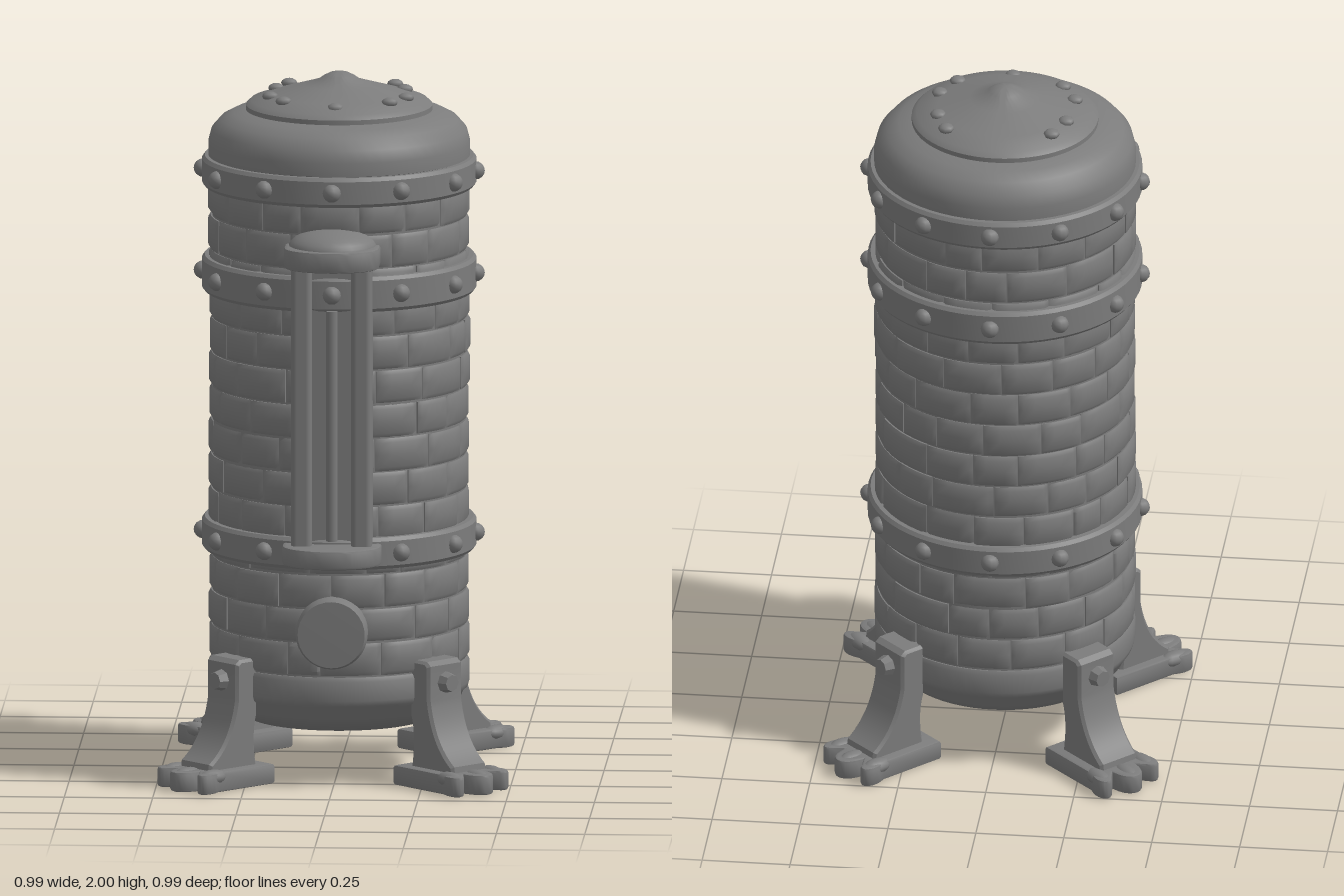
import * as THREE from 'three';
import { mergeGeometries, toCreasedNormals } from 'three/addons/utils/BufferGeometryUtils.js';
import { RoundedBoxGeometry } from 'three/addons/geometries/RoundedBoxGeometry.js';

const darkGrey = new THREE.MeshStandardMaterial({ color: 0x7c7c7c });

function add(parent, name, geometry, x = 0, y = 0, z = 0) {
  const mesh = new THREE.Mesh(geometry, darkGrey);
  mesh.name = name;
  mesh.position.set(x, y, z);
  parent.add(mesh);
  return mesh;
}

function lathe(points, segments = 64) {
  const profile = points.map(([r, y]) => new THREE.Vector2(r, y));
  return toCreasedNormals(new THREE.LatheGeometry(profile, segments), 0.6);
}

// Small seeded generator for irregular brickwork
function seeded(seed) {
  return () => {
    seed = (seed * 16807) % 2147483647;
    return seed / 2147483647;
  };
}

// Box wrapped around the barrel, with a softly bevelled outer face
function bentBrick(a0, a1, y0, y1, radius) {
  const g = new THREE.BoxGeometry(2, 2, 2, 6, 4, 1);
  const p = g.attributes.position;
  for (let i = 0; i < p.count; i++) {
    const edge = Math.abs(p.getX(i)) > 0.99 || Math.abs(p.getY(i)) > 0.99;
    const u = Math.abs(p.getX(i)) > 0.99 ? p.getX(i) : p.getX(i) * 1.25;
    const v = Math.abs(p.getY(i)) > 0.99 ? p.getY(i) : p.getY(i) * 1.5;
    const a = (a0 + a1) / 2 + (u * (a1 - a0)) / 2;
    const r = p.getZ(i) < 0 ? 0.34 : radius - (edge ? 0.007 : 0);
    p.setXYZ(i, Math.sin(a) * r, (y0 + y1) / 2 + (v * (y1 - y0)) / 2, Math.cos(a) * r);
  }
  return toCreasedNormals(g, 0.9);
}

function brickwork(yMin, yMax, rows, perRow) {
  const rand = seeded(71);
  const bricks = [];
  const h = (yMax - yMin) / rows;
  const step = (Math.PI * 2) / perRow;
  for (let row = 0; row < rows; row++) {
    const joints = [];
    for (let i = 0; i < perRow; i++) joints.push((i + (row % 2) / 2 + (rand() - 0.5) * 0.45) * step);
    joints.push(joints[0] + Math.PI * 2);
    for (let i = 0; i < perRow; i++) {
      const y = yMin + row * h;
      bricks.push(bentBrick(joints[i] + 0.003, joints[i + 1] - 0.003,
        y + 0.001 + rand() * 0.003, y + h - 0.001 - rand() * 0.003, 0.365 + rand() * 0.006));
    }
  }
  return mergeGeometries(bricks);
}

// Iron hoop with twelve rivets
function hoop(y, height) {
  const group = new THREE.Group();
  group.name = 'rivetedHoop';
  group.position.y = y;
  const h = height / 2;
  add(group, 'hoopBand', lathe([[0.35, -h], [0.38, -h], [0.388, -h + 0.01], [0.388, h - 0.01], [0.38, h], [0.35, h]]));
  const rivet = new THREE.SphereGeometry(0.026, 10, 8);
  for (let i = 0; i < 12; i++) {
    const a = (i * Math.PI) / 6;
    add(group, 'hoopRivet', rivet, Math.sin(a) * 0.386, 0, Math.cos(a) * 0.386);
  }
  return group;
}

// Bevelled slab from a plan in x and z, with its top face at y = 0
function slab(shape, thickness) {
  const b = 0.008;
  const g = new THREE.ExtrudeGeometry(shape, { depth: thickness - 2 * b, bevelSize: b, bevelOffset: -b, bevelThickness: b, bevelSegments: 2, curveSegments: 10 });
  g.rotateX(Math.PI / 2).translate(0, -b, 0);
  return toCreasedNormals(g, 0.6);
}

// Plan of a plate with a half-elliptical front
function roundedPlan(halfWidth, back, straight, front) {
  const s = new THREE.Shape();
  s.moveTo(-halfWidth, back);
  s.lineTo(halfWidth, back);
  s.lineTo(halfWidth, straight);
  s.absellipse(0, straight, halfWidth, front - straight, 0, Math.PI, false);
  return s;
}

// Plan of a foot ending in three pointed, rounded toes
function footPlan() {
  const s = new THREE.Shape();
  s.moveTo(-0.095, 0.305);
  s.lineTo(0.095, 0.305);
  s.lineTo(0.095, 0.51);
  s.bezierCurveTo(0.125, 0.57, 0.085, 0.605, 0.062, 0.565);
  s.lineTo(0.042, 0.543);
  s.bezierCurveTo(0.04, 0.625, -0.04, 0.625, -0.042, 0.543);
  s.lineTo(-0.062, 0.565);
  s.bezierCurveTo(-0.085, 0.605, -0.125, 0.57, -0.095, 0.51);
  return s;
}

// Leg built facing +z, then turned to its corner
function makeLeg(angle, x, z) {
  const leg = new THREE.Group();
  leg.name = 'leg';
  leg.rotation.y = angle;
  leg.position.set(x, 0, z);

  // Curved bracket, profile drawn outward and upward
  const s = new THREE.Shape();
  s.moveTo(0.34, 0.04);
  s.lineTo(0.525, 0.04);
  s.lineTo(0.52, 0.075);
  s.quadraticCurveTo(0.44, 0.13, 0.42, 0.25);
  s.lineTo(0.42, 0.35);
  s.lineTo(0.405, 0.362);
  s.lineTo(0.34, 0.362);
  s.lineTo(0.34, 0.2);
  s.quadraticCurveTo(0.36, 0.14, 0.34, 0.04);
  const bracket = new THREE.ExtrudeGeometry(s, { depth: 0.114, bevelSize: 0.008, bevelOffset: -0.008, bevelThickness: 0.008, bevelSegments: 1 });
  bracket.translate(0, 0, -0.057).rotateY(-Math.PI / 2);
  add(leg, 'legBracket', toCreasedNormals(bracket, 0.5));

  // Bolt
  const bolt = new THREE.CylinderGeometry(0.024, 0.033, 0.035, 8).rotateX(Math.PI / 2);
  add(leg, 'legBolt', toCreasedNormals(bolt, 0.6), 0, 0.3, 0.43);

  // Foot slab, with a raised knuckle on each toe
  add(leg, 'foot', slab(footPlan(), 0.058), 0, 0.058, 0);
  const knuckle = new THREE.SphereGeometry(1, 12, 8).scale(0.026, 0.022, 0.05);
  for (const [kx, kz] of [[-0.078, 0.525], [0, 0.55], [0.078, 0.525]]) add(leg, 'toeKnuckle', knuckle, kx, 0.043, kz);
  return leg;
}

function makeGauge() {
  const gauge = new THREE.Group();
  gauge.name = 'sightGauge';
  add(gauge, 'gaugeTopPlate', slab(roundedPlan(0.135, 0.28, 0.385, 0.475), 0.06), 0, 1.565, 0);
  add(gauge, 'gaugeBottomPlate', slab(roundedPlan(0.14, 0.28, 0.385, 0.487), 0.055), 0, 0.71, 0);
  // Sloping hood above the top plate
  const hood = new THREE.SphereGeometry(1, 24, 8, 0, Math.PI * 2, 0, Math.PI / 2).scale(0.125, 0.055, 0.125);
  add(gauge, 'gaugeHood', hood, 0, 1.558, 0.34);
  for (const side of [-1, 1]) {
    add(gauge, 'gaugePost', new RoundedBoxGeometry(0.058, 0.83, 0.11, 2, 0.016), side * 0.085, 1.1, 0.355);
  }
  add(gauge, 'gaugeBackPlate', new THREE.BoxGeometry(0.12, 0.81, 0.06), 0, 1.1, 0.338);
  add(gauge, 'gaugeTube', new THREE.CylinderGeometry(0.016, 0.016, 0.66, 12), 0, 1.05, 0.372);
  return gauge;
}

export function createModel() {
  const model = new THREE.Group();
  model.name = 'brickBoiler';

  const body = new THREE.Group();
  body.name = 'body';
  body.position.z = -0.013;
  model.add(body);

  // Barrel core, bricks and hoops
  add(body, 'mortarCore', new THREE.CylinderGeometry(0.359, 0.359, 1.45, 64, 1, true), 0, 1.0, 0);
  add(body, 'brickwork', brickwork(0.325, 1.69, 14, 15));
  body.add(hoop(1.718, 0.085), hoop(1.425, 0.1), hoop(0.68, 0.09));

  // Rounded base
  add(body, 'base', lathe([[0, 0.13], [0.18, 0.138], [0.26, 0.152], [0.31, 0.172], [0.34, 0.2], [0.353, 0.23], [0.364, 0.24], [0.368, 0.255], [0.368, 0.31], [0.362, 0.322], [0.34, 0.325]]));

  // Domed top and riveted lid
  add(body, 'dome', lathe([[0.35, 1.755], [0.37, 1.762], [0.37, 1.8], [0.361, 1.835], [0.335, 1.865], [0.3, 1.883], [0.25, 1.895], [0, 1.9]]));
  add(body, 'lid', lathe([[0.25, 1.88], [0.264, 1.888], [0.264, 1.905], [0.25, 1.918], [0.19, 1.937], [0.1, 1.963], [0.06, 1.975], [0.045, 1.986], [0.025, 1.996], [0, 2.0]]));
  const lidRivet = new THREE.SphereGeometry(0.023, 8, 6).scale(1, 0.6, 1);
  for (const [x, z] of [[0.15, -0.155], [0.182, -0.073], [0.192, 0.06], [0.15, 0.138]]) {
    for (const side of [-1, 1]) add(body, 'lidRivet', lidRivet, side * x, 1.936, z);
  }
  add(body, 'lidRivet', lidRivet, 0, 1.93, 0.2);

  model.add(makeGauge());

  // Round port below the gauge
  const port = new THREE.Group();
  port.name = 'roundPort';
  port.position.set(0, 0.455, 0.3);
  port.rotation.x = Math.PI / 2;
  add(port, 'portDisc', lathe([[0.1, 0], [0.102, 0.085], [0.095, 0.104], [0, 0.106]], 32));
  model.add(port);

  // Front legs stand slightly wider than the back pair
  for (const side of [-1, 1]) {
    model.add(makeLeg((side * Math.PI) / 4, side * 0.02, -0.025));
    model.add(makeLeg((side * Math.PI * 3) / 4, 0, -0.03));
  }
  return model;
}
